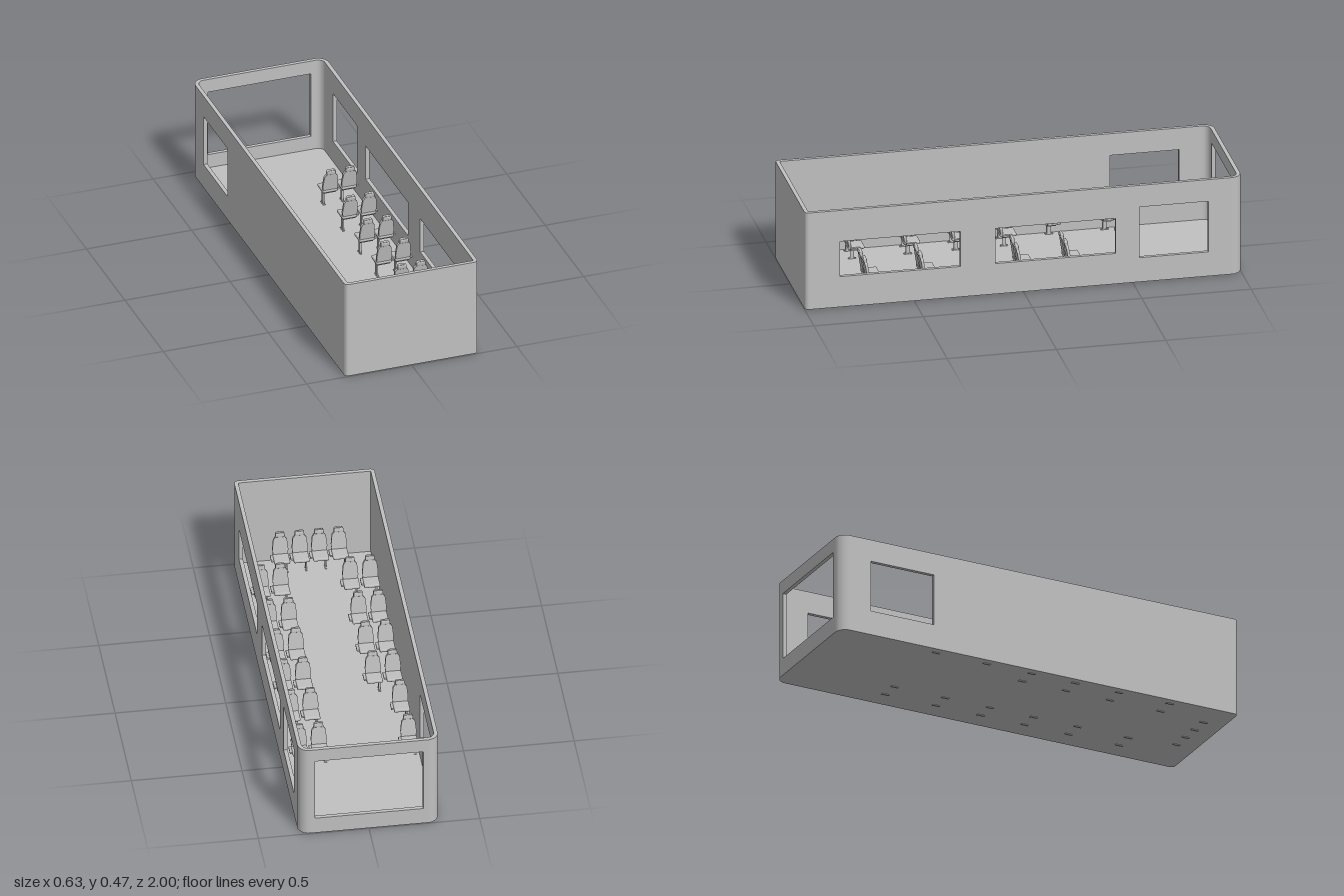
import * as THREE from 'three';
import { RoundedBoxGeometry } from 'three/addons/geometries/RoundedBoxGeometry.js';

const grey = new THREE.MeshStandardMaterial({ color: 0xc0c0c0 });
grey.name = 'grey';

const W = 0.317, L = 1, T = 0.018;        // half width, half length, wall thickness
const BASE = 0.003, FLOOR = 0.018, TOP = 0.47;
const R_BACK = 0.05, R_FRONT = 0.02;      // corner radii

function add(parent, name, geometry, x = 0, y = 0, z = 0) {
  const mesh = new THREE.Mesh(geometry, grey);
  mesh.name = name;
  mesh.position.set(x, y, z);
  parent.add(mesh);
  return mesh;
}

const extrude = (shape, depth, curveSegments = 4) =>
  new THREE.ExtrudeGeometry(shape, { depth, bevelEnabled: false, curveSegments });

// Upright panel from u0 to u1 with rectangular openings [u0, u1, y0, y1]
function panel(u0, u1, openings = []) {
  const rect = (Type, a, b, c, d) => {
    const p = new Type();
    p.moveTo(a, c);
    p.lineTo(b, c);
    p.lineTo(b, d);
    p.lineTo(a, d);
    p.closePath();
    return p;
  };
  const shape = rect(THREE.Shape, u0, u1, FLOOR, TOP);
  openings.forEach((o) => shape.holes.push(rect(THREE.Path, ...o)));
  return extrude(shape, T);
}

// Quarter ring that joins two walls, drawn in plan
function corner(r) {
  const s = new THREE.Shape();
  s.absarc(0, 0, r, 0, Math.PI / 2, false);
  s.absarc(0, 0, r - T, Math.PI / 2, 0, true);
  s.closePath();
  return extrude(s, TOP - FLOOR).rotateX(-Math.PI / 2);
}

// Floor plate with the same rounded outline as the walls
function floorPlate() {
  const s = new THREE.Shape();
  s.absarc(W - R_BACK, L - R_BACK, R_BACK, 0, Math.PI / 2, false);
  s.absarc(-W + R_BACK, L - R_BACK, R_BACK, Math.PI / 2, Math.PI, false);
  s.absarc(-W + R_FRONT, -L + R_FRONT, R_FRONT, Math.PI, Math.PI * 1.5, false);
  s.absarc(W - R_FRONT, -L + R_FRONT, R_FRONT, Math.PI * 1.5, Math.PI * 2, false);
  return extrude(s, FLOOR - BASE).rotateX(-Math.PI / 2);
}

function buildShell() {
  const shell = new THREE.Group();
  shell.name = 'shell';
  add(shell, 'floor', floorPlate(), 0, BASE, 0);

  // End walls: plain at the front, large window at the back
  add(shell, 'frontWall', panel(-W + R_FRONT, W - R_FRONT), 0, 0, L - T);
  add(shell, 'backWall', panel(-W + R_BACK, W - R_BACK, [[-0.245, 0.245, 0.085, 0.405]]), 0, 0, -L);

  // Side walls, where u runs towards -z
  const hatch = [0.53, 0.845, 0.12, 0.365];
  const windows = [[-0.84, -0.29, 0.15, 0.32], [-0.13, 0.42, 0.15, 0.32]];
  const u0 = -L + R_FRONT, u1 = L - R_BACK;
  add(shell, 'leftWall', panel(u0, u1, [...windows, hatch]), W - T).rotation.y = Math.PI / 2;
  add(shell, 'rightWall', panel(u0, u1, [hatch]), -W).rotation.y = Math.PI / 2;

  // Rounded corners
  [[1, -1, 0], [-1, -1, 1], [-1, 1, 2], [1, 1, 3]].forEach(([sx, sz, turn]) => {
    const r = sz < 0 ? R_BACK : R_FRONT;
    const c = add(shell, 'wallCorner', corner(r), sx * (W - r), FLOOR, sz * (L - r));
    c.rotation.y = turn * Math.PI / 2;
  });
  return shell;
}

// Tapered backrest outline with a narrower head part
function backrestGeometry() {
  const s = new THREE.Shape();
  s.moveTo(-0.032, 0);
  s.lineTo(0.032, 0);
  s.lineTo(0.036, 0.035);
  s.lineTo(0.031, 0.085);
  s.lineTo(0.022, 0.097);
  s.lineTo(0.021, 0.113);
  s.quadraticCurveTo(0.019, 0.12, 0.012, 0.12);
  s.lineTo(-0.012, 0.12);
  s.quadraticCurveTo(-0.019, 0.12, -0.021, 0.113);
  s.lineTo(-0.022, 0.097);
  s.lineTo(-0.031, 0.085);
  s.lineTo(-0.036, 0.035);
  s.closePath();
  return extrude(s, 0.012);
}

// One passenger seat facing -z
function buildSeat() {
  const seat = new THREE.Group();
  seat.name = 'seat';
  add(seat, 'seatCushion', new RoundedBoxGeometry(0.072, 0.016, 0.075, 2, 0.006), 0, 0.092, -0.0075);
  add(seat, 'backrest', backrestGeometry(), 0, 0.088, 0.014).rotation.x = 0.16;
  const pad = add(seat, 'headPad', new RoundedBoxGeometry(0.042, 0.022, 0.018, 2, 0.006), 0, 0.193, 0.038);
  pad.rotation.x = 0.16;
  add(seat, 'sideBracket', new THREE.BoxGeometry(0.014, 0.008, 0.045), 0.04, 0.092, -0.002);
  add(seat, 'seatFrame', new THREE.BoxGeometry(0.06, 0.007, 0.04), 0, 0.081, 0);
  add(seat, 'leg', new THREE.BoxGeometry(0.008, 0.08, 0.018), -0.025, 0.042, 0);
  add(seat, 'foot', new THREE.BoxGeometry(0.01, 0.022, 0.036), -0.025, 0.011, 0);
  return seat;
}

export function createModel() {
  const model = new THREE.Group();
  model.name = 'openBusCabin';
  model.add(buildShell());

  const seats = new THREE.Group();
  seats.name = 'seats';
  const seat = buildSeat();
  const place = (x, z) => {
    const copy = seat.clone();
    copy.position.set(x, 0, z);
    seats.add(copy);
  };

  // Paired rows, with single seats on one side in the first two
  [-0.5, -0.245, -0.02, 0.2, 0.42, 0.675].forEach((z, row) => {
    const columns = row < 2 ? [-0.255, 0.15, 0.24] : [-0.255, -0.165, 0.15, 0.24];
    columns.forEach((x) => place(x, z));
  });
  // Bench row of four
  [-0.147, -0.058, 0.03, 0.118].forEach((x) => place(x, 0.9));

  model.add(seats);
  return model;
}
